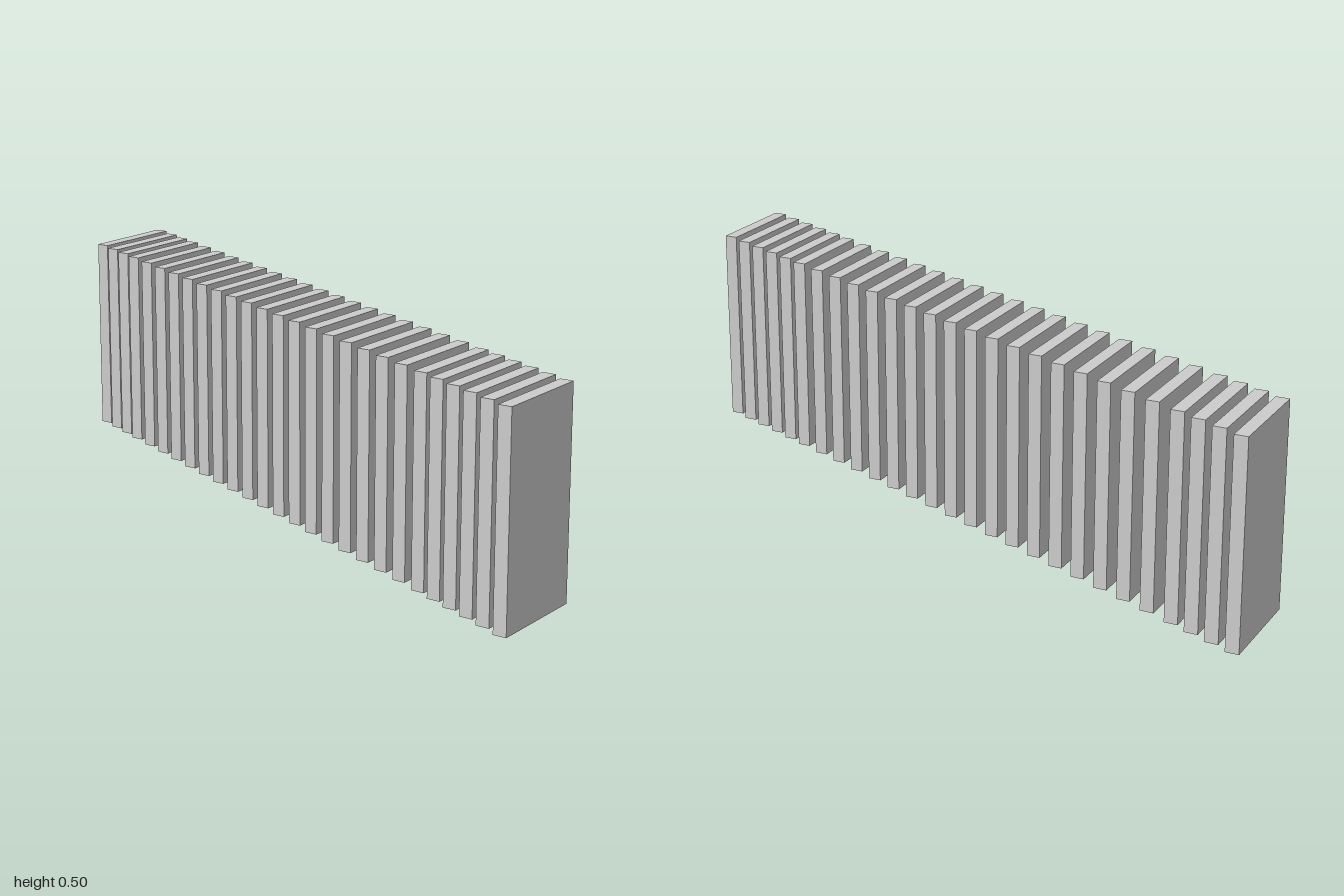
import * as THREE from 'three';

const HEIGHT = 0.496, LENGTH = 0.25, THICK = 0.0325, ANGLE = 0.413;
const TIGHT = 0.062, WIDE = 0.0763; // spacing near the ends and in the middle

export function createModel() {
  const group = new THREE.Group();
  group.name = 'slatRow';
  const material = new THREE.MeshStandardMaterial({ color: 0xcccccc, flatShading: true });
  const slatGeometry = new THREE.BoxGeometry(LENGTH, HEIGHT, THICK);

  // gaps from back to front: 3 tight, 18 wide, 5 tight
  const positions = [0];
  for (let i = 0; i < 26; i++) {
    positions.push(positions[i] + (i < 3 || i >= 21 ? TIGHT : WIDE));
  }
  const span = positions[26];

  // upright slats, all turned by the same angle, in a very slightly slanted row
  positions.forEach((p, i) => {
    const slat = new THREE.Mesh(slatGeometry, material);
    slat.name = `slat${i + 1}`;
    slat.position.set(0.0012 * (2 * p / span - 1), HEIGHT / 2, p - span / 2);
    slat.rotation.y = ANGLE;
    group.add(slat);
  });
  return group;
}
